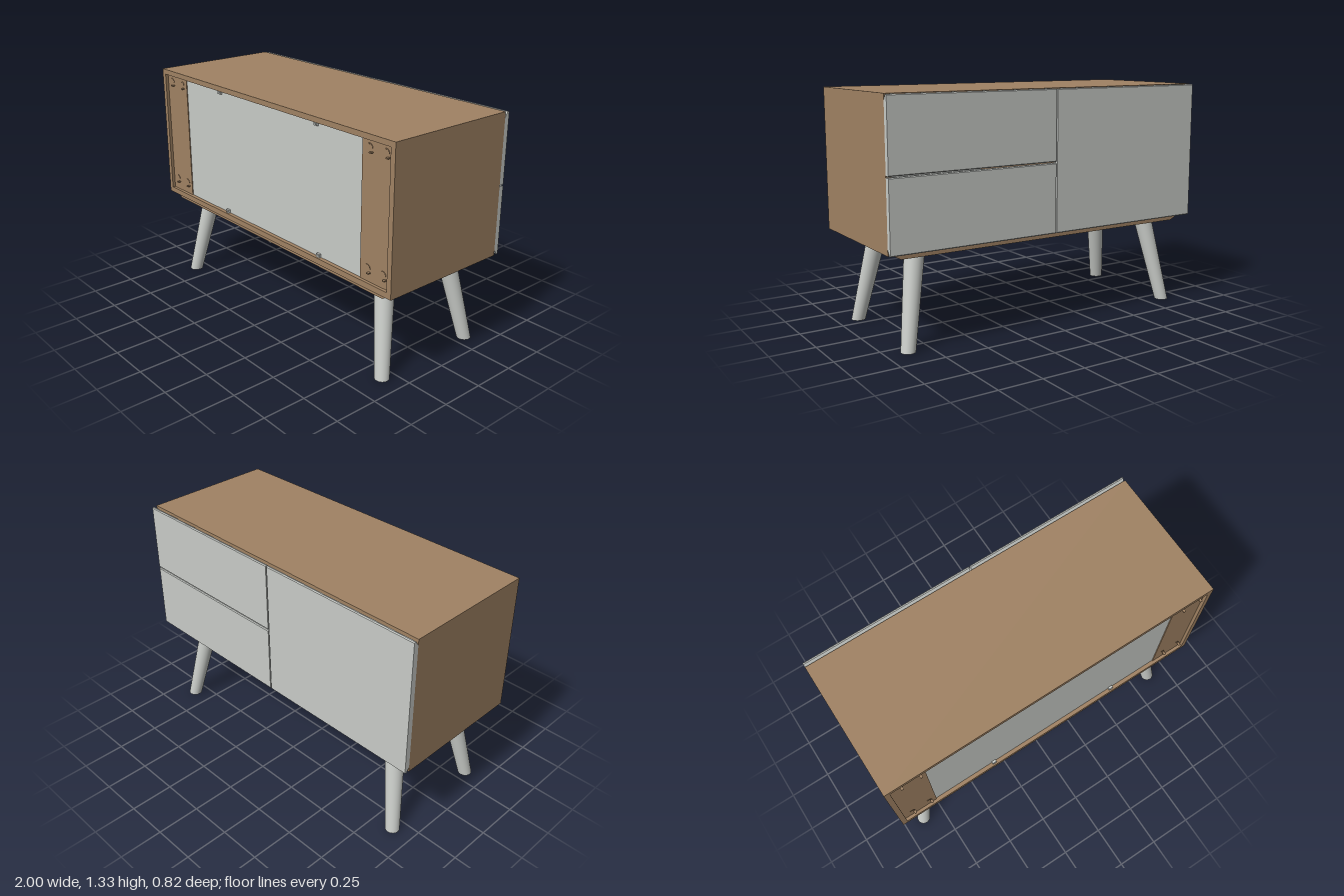
import * as THREE from 'three';

const mat = (name, color, side = THREE.FrontSide) => {
  const m = new THREE.MeshStandardMaterial({ color, side });
  m.name = name;
  return m;
};

export function createModel() {
  const wood = mat('oak wood', 0xa08263);
  const grey = mat('pale grey', 0xc8cbc7);
  const dark = mat('dark mounting plate', 0x20100d);
  const model = new THREE.Group();
  model.name = 'sideboard';

  const add = (parent, name, geometry, material) => {
    const mesh = new THREE.Mesh(geometry, material);
    mesh.name = name;
    parent.add(mesh);
    return mesh;
  };
  // box given by its limits on each axis
  const box = (parent, name, [x0, x1], [y0, y1], [z0, z1], material) =>
    add(parent, name, new THREE.BoxGeometry(x1 - x0, y1 - y0, z1 - z0)
      .translate((x0 + x1) / 2, (y0 + y1) / 2, (z0 + z1) / 2), material);
  const outline = pts => new THREE.Shape(pts.map(p => new THREE.Vector2(...p)));

  // Carcass: boards around a hollow interior
  const carcass = new THREE.Group();
  carcass.name = 'carcass';
  model.add(carcass);
  box(carcass, 'topBoard', [-1, 1], [1.303, 1.333], [-0.38, 0.41], wood);
  box(carcass, 'bottomBoard', [-1, 1], [0.533, 0.565], [-0.38, 0.41], wood);
  box(carcass, 'divider', [-0.015, 0.015], [0.565, 1.303], [-0.38, 0.37], wood);
  for (const s of [-1, 1]) {
    const span = (a, b) => (s > 0 ? [a, b] : [-b, -a]);
    box(carcass, 'sideBoard', span(0.97, 1), [0.565, 1.303], [-0.38, 0.41], wood);
    box(carcass, 'rearSideBoard', span(0.765, 0.97), [0.565, 1.303], [0.36, 0.392], wood);
    // Small fittings standing proud of the rear side boards
    for (const x of [0.925, 0.815]) {
      for (const y of [0.635, 1.26]) {
        const ring = add(carcass, 'fitting',
          new THREE.TorusGeometry(0.02, 0.003, 4, 10, Math.PI * 0.6), wood);
        ring.position.set(s * x, y, 0.392);
        box(carcass, 'fittingTab', [s * x + 0.012, s * x + 0.026],
          [y - 0.022, y - 0.016], [0.39, 0.41], wood);
      }
    }
  }

  // Recessed rear panel with its clips
  box(model, 'rearPanel', [-0.765, 0.765], [0.565, 1.303], [0.37, 0.387], grey);
  for (const [x, y] of [[-0.41, 1.292], [0.43, 1.292], [-0.375, 0.575], [0.45, 0.575]]) {
    box(model, 'panelClip', [x - 0.013, x + 0.013], [y - 0.01, y + 0.01], [0.386, 0.4], grey);
    box(model, 'clipScrew', [x - 0.005, x + 0.005], [y - 0.004, y + 0.004], [0.4, 0.403], grey);
  }

  // Door and drawer fronts: profile in z and y, with finger grips cut behind the edges
  const front = (name, x0, x1, y0, y1, low, high) => {
    const g = new THREE.ExtrudeGeometry(outline([
      [-0.38, y0 + low], [-0.38, y1 - high], [-0.398, y1], [-0.405, y1], [-0.41, y1 - 0.005],
      [-0.41, y0 + 0.005], [-0.405, y0], [-0.398, y0],
    ]), { depth: x1 - x0, bevelEnabled: false });
    // swap axes: profile x becomes z, depth becomes -x
    g.rotateY(-Math.PI / 2).translate(x1, 0, 0);
    add(model, name, g, grey);
  };
  front('door', -1, -0.004, 0.535, 1.33, 0.03, 0.03);
  front('lowerDrawer', 0.004, 1, 0.535, 0.928, 0.03, 0.002);
  front('upperDrawer', 0.004, 1, 0.933, 1.33, 0.002, 0.03);

  // Base: two long rails with bevelled ends and a board between them
  const base = new THREE.Group();
  base.name = 'base';
  model.add(base);
  for (const z of [0.3, -0.35]) {
    const g = new THREE.ExtrudeGeometry(
      outline([[-0.915, 0.5], [0.915, 0.5], [0.95, 0.52], [0.95, 0.533], [-0.95, 0.533], [-0.95, 0.52]]),
      { depth: 0.082, bevelEnabled: false });
    add(base, 'rail', g.translate(0, 0, z), wood);
  }
  box(base, 'baseBoard', [-0.92, 0.92], [0.507, 0.533], [-0.268, 0.3], wood);

  // Splayed tapered legs, sheared so that both ends stay level, on dark plates
  const splay = 0.09 / 0.5;
  for (const sx of [-1, 1]) {
    for (const sz of [-1, 1]) {
      const g = new THREE.CylinderGeometry(0.055, 0.04, 0.5, 40).translate(0, 0.25, 0);
      g.applyMatrix4(new THREE.Matrix4().set(
        1, -sx * splay, 0, sx * 0.875,
        0, 1, 0, 0,
        0, -sz * splay, 1, sz * 0.325,
        0, 0, 0, 1));
      add(model, 'leg', g, grey);
      const px = sx * 0.79, pz = sz > 0 ? 0.235 : -0.21;
      box(model, 'legPlate', [px - 0.1, px + 0.1], [0.496, 0.51], [pz - 0.1, pz + 0.1], dark);
      for (const dx of [-0.075, 0.075]) {
        for (const dz of [-0.085, 0.085]) {
          add(model, 'plateScrew', new THREE.CylinderGeometry(0.012, 0.008, 0.005, 12)
            .translate(px + dx, 0.494, pz + dz), dark);
        }
      }
    }
  }
  return model;
}
